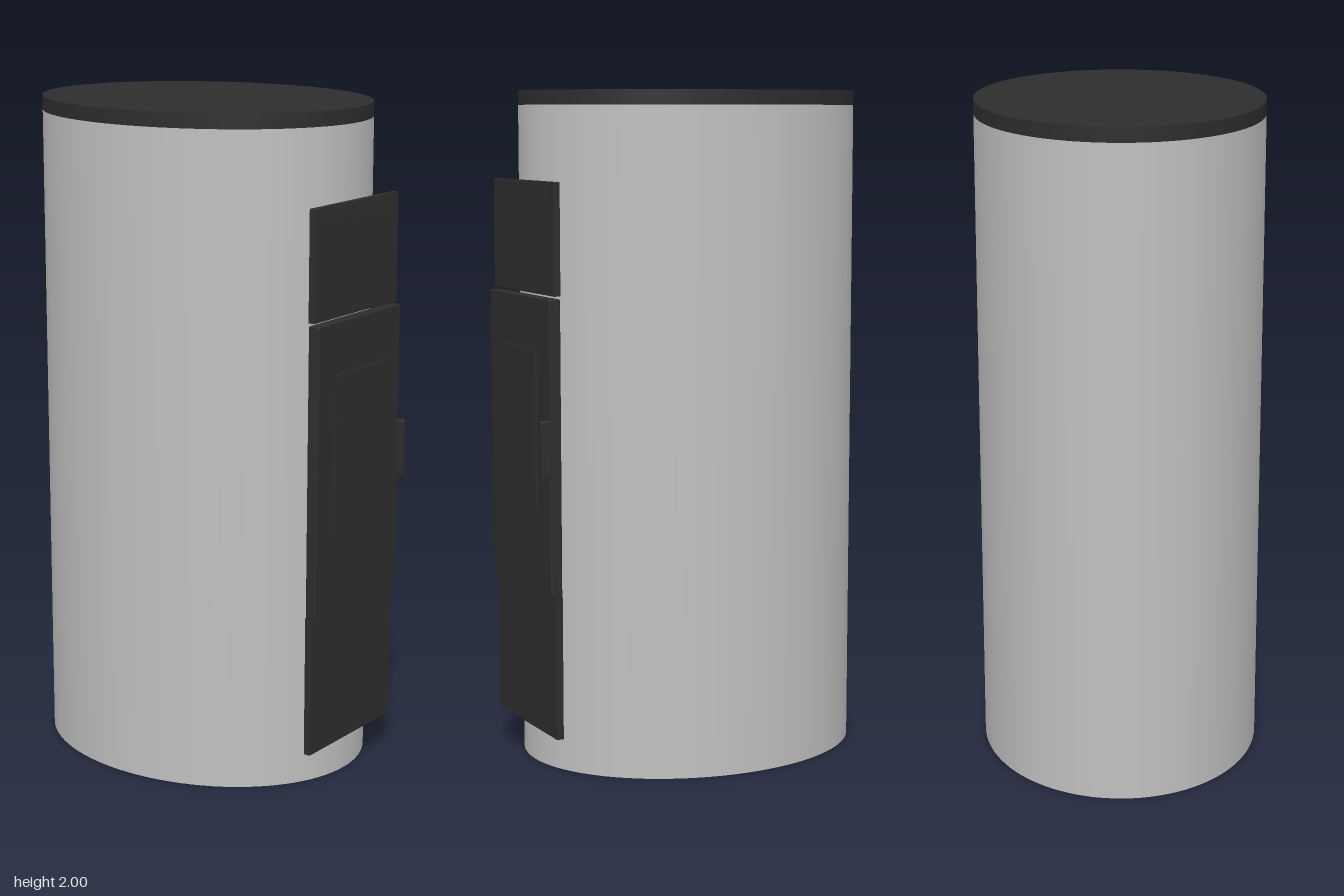
import * as THREE from 'three';
import { RoundedBoxGeometry } from 'three/addons/geometries/RoundedBoxGeometry.js';

export function createModel() {
  const model = new THREE.Group();
  const steel = new THREE.MeshStandardMaterial({ color: 0xc0c0c0 });
  steel.name = 'silver grey';
  const iron = new THREE.MeshStandardMaterial({ color: 0x2d2d2d });
  iron.name = 'charcoal black';

  function add(name, geometry, material) {
    const mesh = new THREE.Mesh(geometry, material);
    mesh.name = name;
    model.add(mesh);
    return mesh;
  }

  // Upright oval drum between two heights
  function drum(name, y0, y1, material) {
    const g = new THREE.CylinderGeometry(1, 1, y1 - y0, 96);
    g.scale(0.427, 1, 0.523);
    g.translate(0, (y0 + y1) / 2, -0.032);
    add(name, g, material);
  }

  // Box given by its limits, optionally with softened edges
  function slab(name, [x0, x1], [y0, y1], [z0, z1], radius = 0) {
    const size = [x1 - x0, y1 - y0, z1 - z0];
    const g = radius
      ? new RoundedBoxGeometry(...size, 2, radius)
      : new THREE.BoxGeometry(...size);
    g.translate((x0 + x1) / 2, (y0 + y1) / 2, (z0 + z1) / 2);
    add(name, g, iron);
  }

  drum('body', 0, 1.957, steel);
  drum('topPlate', 1.957, 2, iron);

  // Front panels
  const width = [-0.215, 0.212];
  slab('lowerPanel', width, [0.115, 0.54], [0.491, 0.512]);
  slab('door', width, [0.54, 1.408], [0.491, 0.527], 0.004);
  slab('upperPanel', width, [1.416, 1.74], [0.491, 0.511]);

  // Door window and handle
  slab('window', [-0.131, 0.126], [0.785, 1.258], [0.525, 0.535]);
  slab('handle', [0.196, 0.213], [0.888, 1.06], [0.522, 0.555], 0.005);

  // Vent slats near the top of the upper panel
  for (let i = 0; i < 4; i++) {
    const y = 1.688 + i * 0.013;
    slab('ventSlat', [-0.165, 0.162], [y, y + 0.006], [0.509, 0.516]);
  }

  return model;
}
